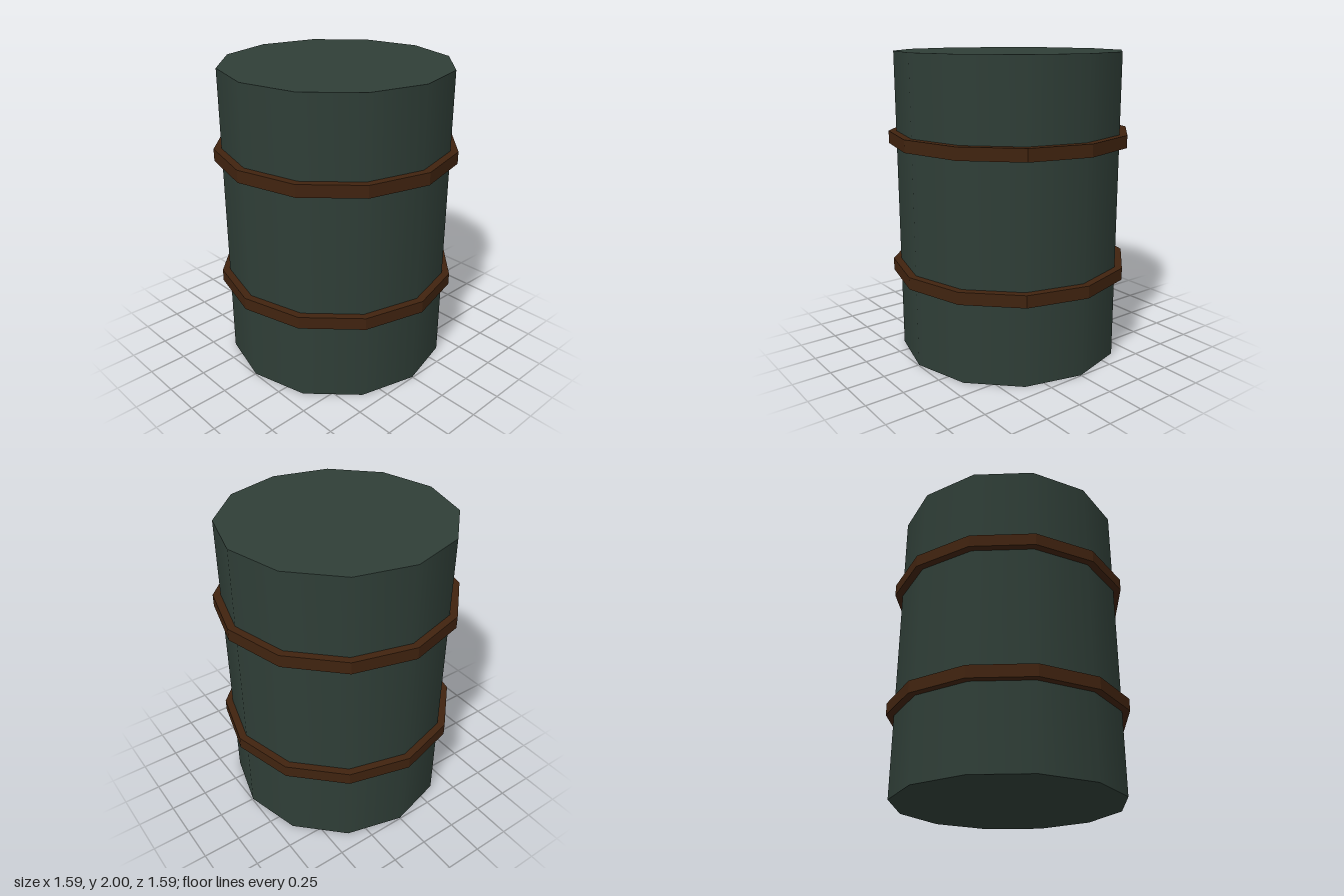
import * as THREE from 'three';

const SIDES = 12;

export function createModel() {
  const barrel = new THREE.Group();
  barrel.name = 'barrel';

  const paint = new THREE.MeshStandardMaterial({ color: 0x2f3e37 });
  paint.name = 'dark green paint';
  const rust = new THREE.MeshStandardMaterial({ color: 0x40230f, flatShading: true });
  rust.name = 'rusty brown';

  // Twelve-sided drum, smooth around the wall
  const body = new THREE.Mesh(new THREE.CylinderGeometry(0.745, 0.745, 2, SIDES), paint);
  body.name = 'body';
  body.position.y = 1;
  barrel.add(body);

  // Two faceted hoops around the drum
  const hoopGeometry = new THREE.CylinderGeometry(0.795, 0.795, 0.08, SIDES);
  [['lowerHoop', 0.577], ['upperHoop', 1.45]].forEach(([name, y]) => {
    const hoop = new THREE.Mesh(hoopGeometry, rust);
    hoop.name = name;
    hoop.position.y = y;
    barrel.add(hoop);
  });

  return barrel;
}
